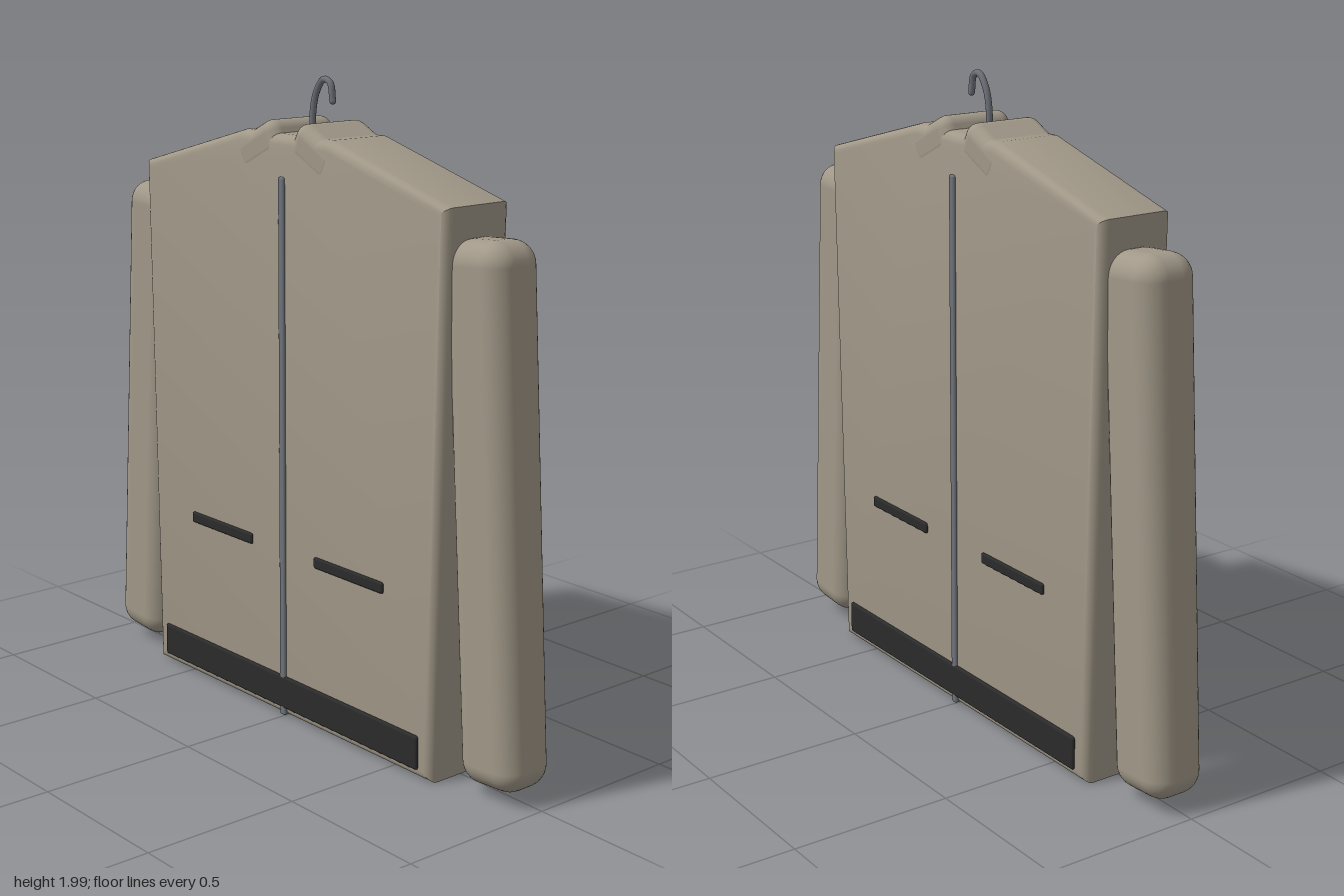
import * as THREE from 'three';
import { toCreasedNormals } from 'three/addons/utils/BufferGeometryUtils.js';
import { RoundedBoxGeometry } from 'three/addons/geometries/RoundedBoxGeometry.js';

const material = (name, color) => {
  const m = new THREE.MeshStandardMaterial({ color });
  m.name = name;
  return m;
};

export function createModel() {
  const group = new THREE.Group();
  const cloth = material('taupe cloth', 0xa19888);
  const trim = material('black trim', 0x2b2b2b);
  const metal = material('grey metal', 0x6d7279);

  const add = (name, geometry, mat, x = 0, y = 0, z = 0, tilt = 0) => {
    const mesh = new THREE.Mesh(geometry, mat);
    mesh.name = name;
    mesh.position.set(x, y, z);
    mesh.rotation.z = tilt;
    group.add(mesh);
    return mesh;
  };
  const rounded = (w, h, d, r, segments = 4) => new RoundedBoxGeometry(w, h, d, segments, r);

  // Body: flat panel with sloped shoulders and softened edges
  const half = [[0.67, 0.005], [0.7, 1.69], [0.2, 1.828]];
  const outline = [...half, ...half.map(([x, y]) => [-x, y]).reverse()];
  const bevel = 0.03;
  const body = new THREE.ExtrudeGeometry(
    new THREE.Shape(outline.map(([x, y]) => new THREE.Vector2(x, y))),
    { depth: 0.25 - 2 * bevel, bevelSize: bevel, bevelThickness: bevel, bevelOffset: -bevel, bevelSegments: 4 });
  body.translate(0, 0, -0.125 + bevel);
  add('body', toCreasedNormals(body, 0.6), cloth);

  // Sleeves and collar flaps, mirrored
  for (const [side, s] of [['left', 1], ['right', -1]]) {
    add(side + 'Sleeve', rounded(0.23, 1.57, 0.19, 0.07), cloth, s * 0.802, 0.82, 0, s * 0.065);
    add(side + 'Collar', rounded(0.2, 0.12, 0.252, 0.04), cloth, s * 0.128, 1.78, 0, -s * 0.46);
  }

  // Zip, hem band and pockets on both faces
  for (const [face, f] of [['front', 1], ['back', -1]]) {
    add(face + 'Zip', rounded(0.026, 1.695, 0.016, 0.007, 2), metal, 0, 0.8575, f * 0.125);
    add(face + 'HemBand', rounded(1.24, 0.106, 0.018, 0.008, 2), trim, 0, 0.087, f * 0.125);
    for (const s of [1, -1]) {
      add(face + (s > 0 ? 'Left' : 'Right') + 'Pocket', rounded(0.312, 0.035, 0.016, 0.007, 2), trim,
        s * 0.307, 0.551, f * 0.125);
    }
  }

  // Hanger hook with its end cap
  const hook = new THREE.CatmullRomCurve3([
    [-0.006, 1.8], [-0.008, 1.88], [0.008, 1.945], [0.042, 1.986], [0.072, 1.977], [0.083, 1.925],
  ].map(([x, y]) => new THREE.Vector3(x, y, 0)));
  add('hangerHook', new THREE.TubeGeometry(hook, 32, 0.01, 10), metal);
  add('hookTip', new THREE.SphereGeometry(0.01, 10, 8), metal, 0.083, 1.925, 0);

  // Zip stop under the hem, just reaching the ground
  add('zipStop', rounded(0.024, 0.03, 0.262, 0.008, 2), metal, 0, 0.025, 0);

  // Settle the model on the ground
  const box = new THREE.Box3().setFromObject(group);
  for (const part of group.children) part.position.y -= box.min.y;
  return group;
}
